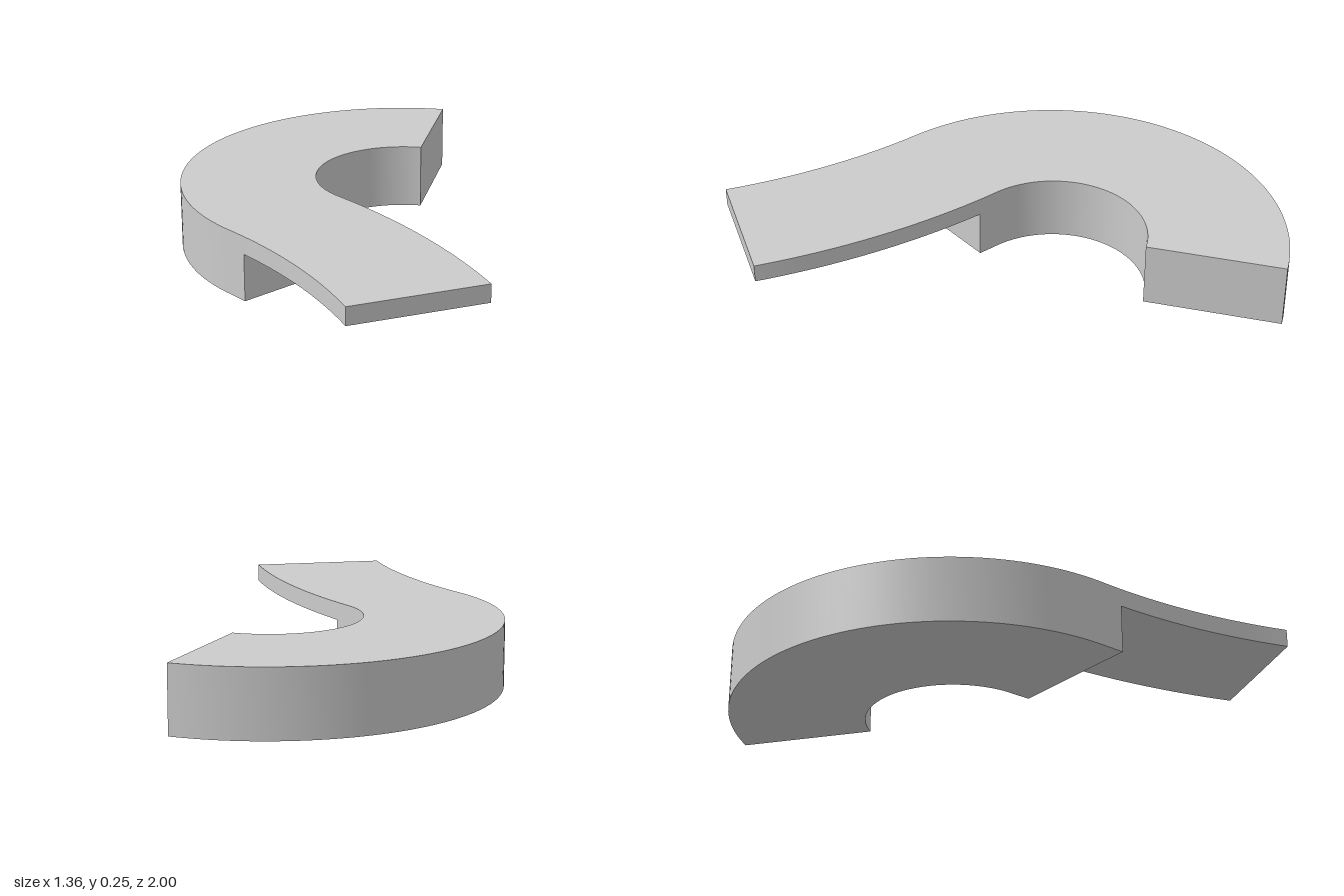
import * as THREE from 'three';
import { toCreasedNormals } from 'three/addons/utils/BufferGeometryUtils.js';

const TOP = 0.255, STEP = 0.185;        // full height, underside of the tongue
const INNER = 0.35, OUTER = 0.88;       // radii of the hook
const C = new THREE.Vector2(0.195, 0.12);    // centre of the hook (plan y = -z)
const T = new THREE.Vector2(-2.762, -1);     // centre of the gentle tongue curve
const LEFT = 2.282, RIGHT = 2.812;      // radii of the tongue's edges
const END = THREE.MathUtils.degToRad(56.6);  // open end of the hook
const JOIN = Math.atan2(C.y - T.y, C.x - T.x); // where both curves are tangent
const CUT_L = THREE.MathUtils.degToRad(18.55); // step in the underside
const CUT_R = THREE.MathUtils.degToRad(19.05);

function arc(c, r, from, to, n) {
  return Array.from({ length: n + 1 }, (_, i) => {
    const a = from + (to - from) * i / n;
    return new THREE.Vector2(c.x + r * Math.cos(a), c.y + r * Math.sin(a));
  });
}

// Extrudes a plan outline upward from y0 to y1
function slab(name, outline, y0, y1, material) {
  const points = outline.filter((p, i) => i === 0 || p.distanceTo(outline[i - 1]) > 1e-3);
  const geometry = new THREE.ExtrudeGeometry(new THREE.Shape(points), { depth: y1 - y0, bevelEnabled: false });
  geometry.rotateX(-Math.PI / 2).translate(0, y0, 0);
  const mesh = new THREE.Mesh(toCreasedNormals(geometry, 0.4), material);
  mesh.name = name;
  return mesh;
}

export function createModel() {
  const group = new THREE.Group();
  group.name = 'hookedTrack';
  const material = new THREE.MeshStandardMaterial({ color: 0xcccccc });

  // Thick curved body, ending in a short run of the tongue's curve
  const body = [
    ...arc(C, OUTER, END, Math.PI + JOIN, 72),
    ...arc(T, LEFT, JOIN, CUT_L, 2),
    ...arc(T, RIGHT, CUT_R, JOIN, 2),
    ...arc(C, INNER, Math.PI + JOIN, END, 72),
  ];
  group.add(slab('hookBody', body, 0, TOP, material));

  // Thin tongue reaching forward, flush with the top
  const tongue = [
    ...arc(T, LEFT, CUT_L, 0, 24),
    ...arc(T, RIGHT, 0, CUT_R, 24),
  ];
  group.add(slab('tongue', tongue, STEP, TOP, material));

  return group;
}
